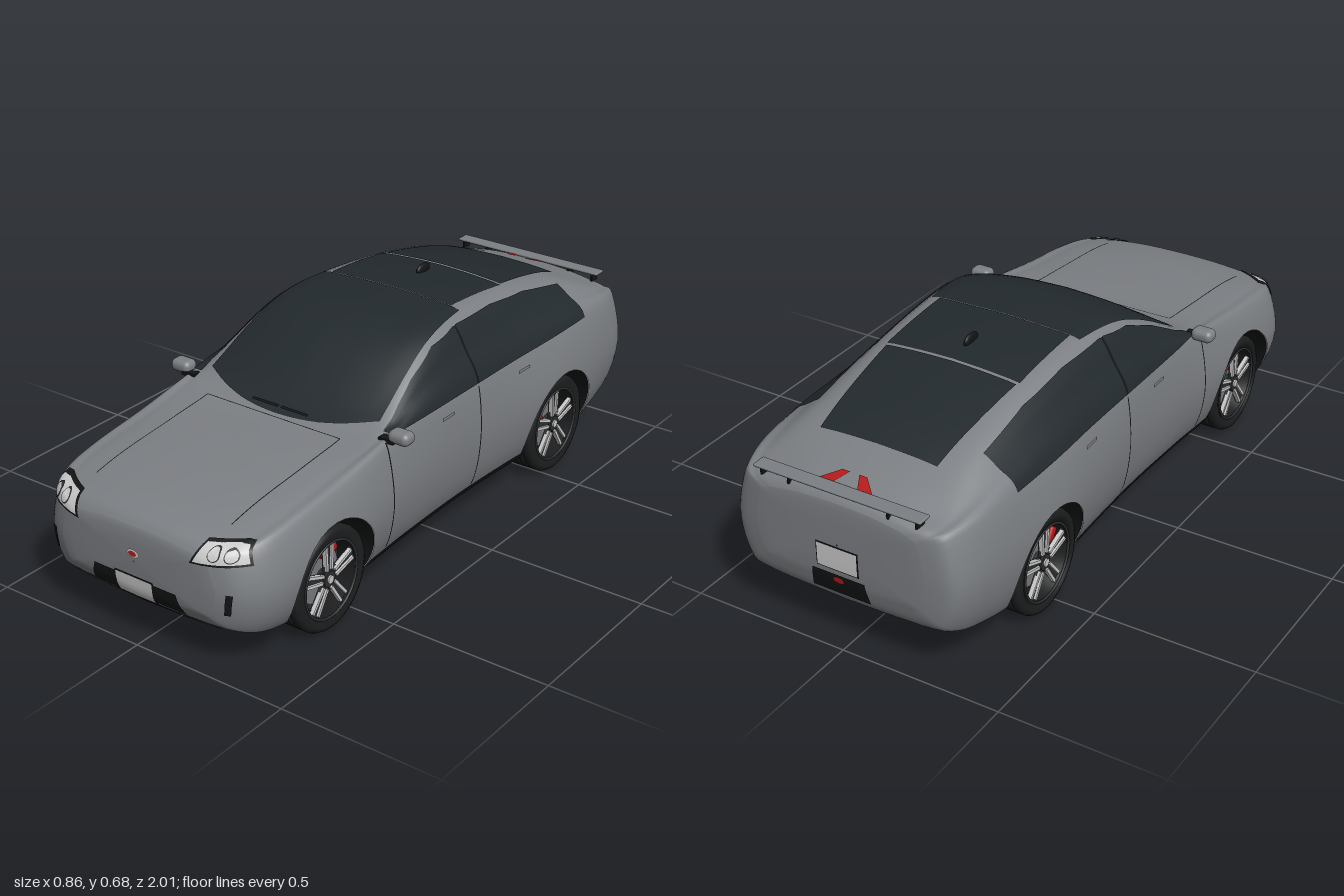
import * as THREE from 'three';
import { RoundedBoxGeometry } from 'three/addons/geometries/RoundedBoxGeometry.js';

const { lerp } = THREE.MathUtils;
const mat = (color) => new THREE.MeshStandardMaterial({ color, side: THREE.DoubleSide });
const PAINT = mat(0x7c7f83), GLASS = mat(0x22292d), BLACK = mat(0x131415), RUBBER = mat(0x1d1e1f);
const DARK = mat(0x2c2e30), STEEL = mat(0x77797b), LIGHT = mat(0xcccccc), RED = mat(0xb51a1a);

const WHEELS = [0.62, -0.55], HUB_Y = 0.16, ARCH = 0.183, WELL_X = 0.235;

// Body stations: z, half width, floor y, belt x, belt y, roof edge x, roof edge y, centre top y
const STATIONS = [
  [-0.995, 0.27, 0.22, 0.25, 0.43, 0.19, 0.46, 0.475],
  [-0.975, 0.345, 0.16, 0.315, 0.45, 0.24, 0.475, 0.495],
  [-0.92, 0.375, 0.125, 0.345, 0.46, 0.255, 0.49, 0.515],
  [-0.83, 0.39, 0.1, 0.365, 0.47, 0.255, 0.525, 0.545],
  [-0.7, 0.402, 0.08, 0.372, 0.478, 0.245, 0.57, 0.588],
  [-0.5, 0.407, 0.08, 0.375, 0.477, 0.247, 0.612, 0.634],
  [-0.3, 0.393, 0.08, 0.37, 0.475, 0.255, 0.637, 0.658],
  [-0.1, 0.384, 0.08, 0.37, 0.472, 0.265, 0.644, 0.663],
  [0.03, 0.383, 0.08, 0.37, 0.47, 0.275, 0.625, 0.655],
  [0.15, 0.386, 0.08, 0.37, 0.468, 0.287, 0.575, 0.612],
  [0.27, 0.39, 0.08, 0.37, 0.462, 0.298, 0.508, 0.535],
  [0.37, 0.396, 0.08, 0.37, 0.45, 0.29, 0.463, 0.463],
  [0.55, 0.405, 0.08, 0.372, 0.42, 0.27, 0.44, 0.448],
  [0.75, 0.405, 0.08, 0.37, 0.395, 0.27, 0.42, 0.43],
  [0.88, 0.388, 0.095, 0.355, 0.375, 0.25, 0.398, 0.41],
  [0.955, 0.335, 0.125, 0.3, 0.355, 0.21, 0.38, 0.39],
  [0.985, 0.27, 0.165, 0.24, 0.335, 0.17, 0.355, 0.365],
];
const HALF = 36, RING = HALF * 2;

function ringAt([z, w, yb, xs, ys, xr, yr, yt], shrink = 1, dz = 0) {
  const ym = lerp(yb, ys, 0.55), V = (x, y) => new THREE.Vector2(x, y);
  const half = new THREE.SplineCurve([
    V(0, yb), V(0.75 * w, yb + 0.01), V(0.925 * w, lerp(yb, ym, 0.27)), V(w, ym), V(xs, ys),
    V((xs + xr) / 2 + 0.006, (ys + yr) / 2 + 0.004), V(xr, yr), V(0.55 * xr, lerp(yr, yt, 0.75)), V(0, yt),
  ]).getPoints(HALF);
  const all = [...half, ...half.slice(1, -1).reverse().map((p) => V(-p.x, p.y))];
  const mid = (yb + yt) / 2;
  return all.map((p) => new THREE.Vector3(p.x * shrink, lerp(mid, p.y, shrink), z + dz));
}

function bodyGeometry() {
  const smooth = (a, b, c, d, t) =>
    b + 0.5 * t * (c - a + t * (2 * a - 5 * b + 4 * c - d + t * (3 * (b - c) + d - a)));
  const n = STATIONS.length, at = (i) => STATIONS[Math.min(Math.max(i, 0), n - 1)], rings = [];
  const caps = [[0.01, 0.005], [0.5, 0.0045], [0.85, 0.003]];
  for (const [s, d] of caps) rings.push(ringAt(at(0), s, -d));
  for (let i = 0; i < n - 1; i++)
    for (let k = 0; k < 6; k++)
      rings.push(ringAt(at(i).map((b, c) => smooth(at(i - 1)[c], b, at(i + 1)[c], at(i + 2)[c], k / 6))));
  rings.push(ringAt(at(n - 1)));
  for (const [s, d] of caps.reverse()) rings.push(ringAt(at(n - 1), s, d * 2));
  const index = [];
  for (let j = 0; j < rings.length - 1; j++)
    for (let i = 0; i < RING; i++) {
      const a = j * RING + i, b = j * RING + ((i + 1) % RING);
      index.push(a, b, a + RING, b, b + RING, a + RING);
    }
  const g = new THREE.BufferGeometry().setFromPoints(rings.flat());
  g.setIndex(index);
  g.computeVertexNormals();
  return g;
}

// Clip every triangle against the wheel arch circles
function cutArches(g) {
  const P = g.attributes.position, N = g.attributes.normal, pos = [], nor = [];
  const vert = (i) => {
    const p = new THREE.Vector3().fromBufferAttribute(P, i);
    const d = Math.min(...WHEELS.map((z) => Math.hypot(p.z - z, p.y - HUB_Y))) - ARCH;
    return { p, n: new THREE.Vector3().fromBufferAttribute(N, i), f: Math.max(d, WELL_X - Math.abs(p.x)) };
  };
  for (let t = 0; t < g.index.count; t += 3) {
    const tri = [0, 1, 2].map((k) => vert(g.index.getX(t + k))), poly = [];
    tri.forEach((a, k) => {
      const b = tri[(k + 1) % 3];
      if (a.f >= 0) poly.push(a);
      if (a.f >= 0 !== b.f >= 0) {
        const s = a.f / (a.f - b.f);
        poly.push({ p: a.p.clone().lerp(b.p, s), n: a.n.clone().lerp(b.n, s) });
      }
    });
    for (let k = 1; k < poly.length - 1; k++)
      for (const v of [poly[0], poly[k], poly[k + 1]]) pos.push(...v.p), nor.push(...v.n);
  }
  const out = new THREE.BufferGeometry();
  out.setAttribute('position', new THREE.Float32BufferAttribute(pos, 3));
  out.setAttribute('normal', new THREE.Float32BufferAttribute(nor, 3));
  return out;
}

function gridGeometry(nu, nv, point) {
  const pts = [], index = [], w = nu + 1;
  for (let j = 0; j <= nv; j++) for (let i = 0; i <= nu; i++) pts.push(point(i / nu, j / nv));
  for (let j = 0; j < nv; j++)
    for (let i = 0; i < nu; i++) {
      const a = j * w + i;
      index.push(a, a + 1, a + w, a + 1, a + w + 1, a + w);
    }
  const g = new THREE.BufferGeometry().setFromPoints(pts);
  g.setIndex(index);
  g.computeVertexNormals();
  return g;
}

export function createModel() {
  const car = new THREE.Group();
  const add = (name, geo, material, x = 0, y = 0, z = 0, parent = car) => {
    const m = new THREE.Mesh(geo, material);
    m.name = name;
    m.position.set(x, y, z);
    parent.add(m);
    return m;
  };
  const whole = bodyGeometry(), shell = new THREE.Mesh(whole, PAINT), ray = new THREE.Raycaster();
  add('body', cutArches(whole), PAINT);

  // Panels laid on the body skin, projected along one axis
  const AIM = {
    top: (a, b) => [[a, 2, b], [0, -1, 0]], front: (a, b) => [[a, b, 2], [0, 0, -1]],
    back: (a, b) => [[a, b, -2], [0, 0, 1]], side: (a, b) => [[2, b, a], [-1, 0, 0]],
  };
  let last = new THREE.Vector3();
  const project = (mode, a, b, lift) => {
    const [o, d] = AIM[mode](a + 1e-4, b + 1e-4);
    ray.set(new THREE.Vector3(...o), new THREE.Vector3(...d));
    const hit = ray.intersectObject(shell)[0];
    if (hit) last = hit.point.clone().addScaledVector(hit.face.normal, lift);
    return last.clone();
  };
  const panel = (name, mode, material, fn, nu, nv, lift = 0.003, pair = false) => {
    const g = gridGeometry(nu, nv, (u, v) => project(mode, ...fn(u, v), lift));
    add(name, g, material);
    if (pair) add(name, g.clone().scale(-1, 1, 1), material);
  };
  const quad = (a, b, c, d) => (u, v) =>
    [0, 1].map((k) => lerp(lerp(a[k], b[k], u), lerp(d[k], c[k], u), v));
  const rect = (x0, y0, x1, y1) => quad([x0, y0], [x1, y0], [x1, y1], [x0, y1]);
  const oval = (x, y, rx, ry) => (u, v) =>
    [x + rx * v * Math.cos(u * 2 * Math.PI), y + ry * v * Math.sin(u * 2 * Math.PI)];

  // Glass
  panel('windscreen', 'top', GLASS, (u, v) => {
    const s = u * 2 - 1;
    return [s * lerp(0.25, 0.305, v), lerp(-0.17, 0.385 - 0.085 * s * s, v)];
  }, 22, 22);
  panel('sunroof', 'top', GLASS, rect(-0.22, -0.44, 0.22, -0.172), 16, 10);
  panel('rearWindow', 'top', GLASS, quad([-0.19, -0.8], [0.19, -0.8], [0.215, -0.45], [-0.215, -0.45]), 16, 14);
  const railY = (z) => {
    const i = STATIONS.findIndex((s) => s[0] > z), [a, b] = [STATIONS[i - 1], STATIONS[i]];
    return lerp(a[6], b[6], (z - a[0]) / (b[0] - a[0])) - 0.01;
  };
  const sideGlass = (z0, z1) => (u, v) => [lerp(z0, z1, u), lerp(0.474, railY(lerp(z0, z1, u)), v)];
  panel('frontSideWindow', 'side', GLASS, sideGlass(-0.095, 0.32), 20, 8, 0.003, true);
  panel('rearSideWindow', 'side', GLASS, sideGlass(-0.7, -0.105), 24, 8, 0.003, true);
  panel('doorPillar', 'side', BLACK, rect(-0.105, 0.474, -0.095, 0.632), 1, 8, 0.003, true);

  // Shut lines, sills and handles
  for (const z of [-0.1, 0.355]) panel('doorSeam', 'side', BLACK, rect(z - 0.0025, 0.135, z + 0.0025, 0.465), 1, 20, 0.0015, true);
  panel('sill', 'side', BLACK, rect(-0.37, 0.112, 0.44, 0.135), 30, 3, 0.004, true);
  for (const z of [0.07, -0.33]) panel('doorHandle', 'side', STEEL, rect(z - 0.03, 0.431, z + 0.03, 0.44), 6, 1, 0.007, true);
  panel('bonnetSeam', 'top', BLACK, rect(0.239, 0.4, 0.242, 0.87), 1, 20, 0.0015, true);
  panel('bonnetRearSeam', 'top', BLACK, rect(-0.24, 0.398, 0.24, 0.401), 20, 1, 0.0015);
  for (const x of [-0.1, 0.005]) panel('wiper', 'top', BLACK, rect(x, 0.357, x + 0.095, 0.366), 8, 1, 0.009);

  // Front end
  panel('headlightFrame', 'front', BLACK, quad([0.197, 0.33], [0.35, 0.338], [0.334, 0.39], [0.222, 0.386]), 12, 6, 0.003, true);
  panel('headlight', 'front', LIGHT, quad([0.207, 0.336], [0.343, 0.344], [0.329, 0.385], [0.227, 0.381]), 12, 6, 0.005, true);
  for (const x of [0.262, 0.304]) {
    panel('lampRing', 'front', DARK, oval(x, 0.362, 0.017, 0.016), 18, 2, 0.007, true);
    panel('lampLens', 'front', LIGHT, oval(x, 0.362, 0.014, 0.013), 18, 2, 0.009, true);
  }
  panel('noseOvalRim', 'front', LIGHT, oval(0, 0.29, 0.021, 0.013), 20, 2, 0.003);
  panel('noseOval', 'front', RED, oval(0, 0.29, 0.014, 0.008), 20, 2, 0.005);
  panel('grille', 'front', BLACK, quad([-0.165, 0.152], [0.165, 0.152], [0.145, 0.214], [-0.145, 0.214]), 16, 6);
  panel('lowerIntake', 'front', BLACK, rect(-0.265, 0.131, 0.265, 0.142), 24, 2);
  panel('bumperVent', 'front', BLACK, quad([0.294, 0.196], [0.311, 0.196], [0.32, 0.26], [0.302, 0.26]), 3, 8, 0.003, true);
  panel('frontPlateFrame', 'front', BLACK, rect(-0.069, 0.15, 0.069, 0.223), 8, 5, 0.005);
  panel('frontPlate', 'front', LIGHT, rect(-0.065, 0.154, 0.065, 0.219), 8, 5, 0.007);

  // Rear end
  panel('rearPlateFrame', 'back', BLACK, rect(-0.069, 0.266, 0.069, 0.344), 8, 5, 0.003);
  panel('rearPlate', 'back', LIGHT, rect(-0.065, 0.27, 0.065, 0.34), 8, 5, 0.005);
  panel('rearInsert', 'back', BLACK, quad([-0.095, 0.185], [0.095, 0.185], [0.085, 0.252], [-0.085, 0.252]), 10, 5);
  panel('rearOval', 'back', RED, oval(0, 0.235, 0.018, 0.01), 20, 2, 0.005);
  panel('tailLight', 'top', RED, quad([0.015, -0.905], [0.04, -0.905], [0.11, -0.97], [0.05, -0.97]), 6, 8, 0.003, true);
  add('spoiler', new RoundedBoxGeometry(0.54, 0.009, 0.046, 2, 0.004), PAINT, 0, 0.507, -0.974);
  for (const x of [-0.25, -0.16, 0.16, 0.25]) add('spoilerStrut', new THREE.BoxGeometry(0.006, 0.03, 0.035), BLACK, x, 0.494, -0.97);
  for (const x of [-0.15, -0.05, 0.05, 0.15]) add('diffuserFin', new THREE.BoxGeometry(0.006, 0.025, 0.07), BLACK, x, 0.09, -0.74);
  add('roofAntenna', new THREE.SphereGeometry(1, 16, 12).scale(0.009, 0.019, 0.035), BLACK, 0, 0.663, -0.345);

  // Wheels, wheel wells and mirrors
  const tyreProfile = [[0.116, -0.05], [0.14, -0.055], [0.152, -0.05], [0.157, -0.04]];
  for (const x of [-0.022, 0, 0.022]) tyreProfile.push([0.157, x - 0.004], [0.151, x - 0.003], [0.151, x + 0.003], [0.157, x + 0.004]);
  tyreProfile.push([0.157, 0.04], [0.152, 0.05], [0.14, 0.055], [0.116, 0.05], [0.116, -0.05]);
  const tyre = new THREE.LatheGeometry(tyreProfile.map((p) => new THREE.Vector2(...p)), 48).rotateZ(Math.PI / 2);
  const disc = (r, w, open = false) => new THREE.CylinderGeometry(r, r, w, 40, 1, open).rotateZ(Math.PI / 2);

  for (const s of [1, -1]) {
    WHEELS.forEach((z, axle) => {
      const wheel = new THREE.Group();
      wheel.name = axle ? 'rearWheel' : 'frontWheel';
      wheel.position.set(s * 0.326, HUB_Y, z);
      car.add(wheel);
      const part = (name, geo, m, x, y = 0, dz = 0) => add(name, geo, m, s * x, y, dz, wheel);
      part('tyre', tyre, RUBBER, 0);
      part('rimBarrel', disc(0.117, 0.1, true), DARK, 0);
      part('rimBack', disc(0.116, 0.006), DARK, -0.02);
      part('rimLip', new THREE.TorusGeometry(0.116, 0.004, 8, 48).rotateY(Math.PI / 2), DARK, 0.05);
      part('brakeDisc', disc(0.085, 0.012), STEEL, 0);
      const [cy, cz] = axle ? [0.042, 0.062] : [0.07, -0.028];
      part('caliper', new RoundedBoxGeometry(0.03, 0.03, 0.06, 2, 0.008), RED, 0.015, cy, cz).rotation.x = -Math.atan2(cz, cy) + (axle ? Math.PI : 0);
      part('hub', disc(0.024, 0.03), DARK, 0.03);
      part('hubCap', disc(0.012, 0.006), LIGHT, 0.047);
      for (let i = 0; i < 5; i++) {
        const arm = new THREE.Group();
        arm.name = 'spokePair';
        arm.rotation.x = (i * 2 * Math.PI) / 5;
        wheel.add(arm);
        add('spokeWeb', new THREE.BoxGeometry(0.01, 0.1, 0.03), DARK, s * 0.034, 0.065, 0, arm);
        for (const k of [-1, 1]) add('spoke', new THREE.BoxGeometry(0.012, 0.08, 0.009), LIGHT, s * 0.04, 0.068, k * 0.012, arm).rotation.x = k * 0.06;
      }
      // Well lining follows the cut edge of the arch
      const edge = (u) => {
        const a = lerp(-0.44, Math.PI + 0.44, u);
        return [z + ARCH * Math.cos(a), HUB_Y + ARCH * Math.sin(a)];
      };
      add('wheelWell', gridGeometry(40, 1, (u, v) => {
        const p = project('side', ...edge(u), -0.002);
        return new THREE.Vector3(s * (v ? p.x : WELL_X), edge(u)[1], edge(u)[0]);
      }), BLACK);
      add('wheelWellWall', new THREE.CircleGeometry(ARCH, 40, -0.44, Math.PI + 0.88).rotateY(Math.PI / 2), BLACK, s * WELL_X, HUB_Y, z);
    });
    add('mirror', new RoundedBoxGeometry(0.07, 0.04, 0.052, 4, 0.018), PAINT, s * 0.396, 0.481, 0.325);
    add('mirrorStalk', new THREE.BoxGeometry(0.05, 0.012, 0.03), BLACK, s * 0.36, 0.467, 0.335);
  }
  return car;
}
